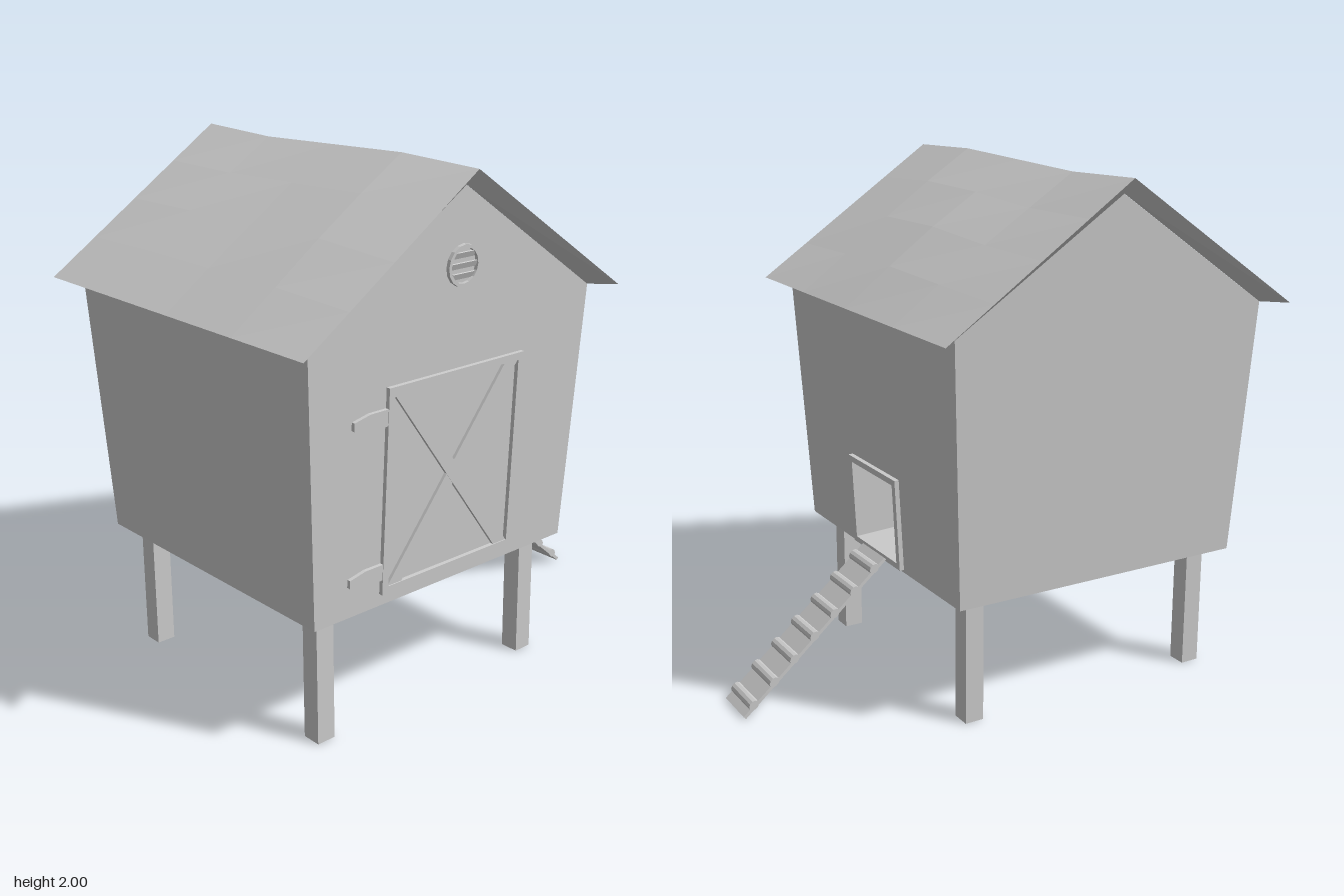
import * as THREE from 'three';

const mat = new THREE.MeshStandardMaterial({ color: 0xcccccc, flatShading: true });
const FLOOR = 0.49, EAVE = 1.485, CZ = 0.25, HALF = 0.61;
const TILT = Math.atan(0.05 / 0.995); // walls lean outwards
const up = (y) => (y - FLOOR) / Math.cos(TILT); // world height -> height along a wall

function add(parent, name, geo, x = 0, y = 0, z = 0) {
  const m = new THREE.Mesh(geo, mat);
  m.name = name;
  m.position.set(x, y, z);
  parent.add(m);
  return m;
}

const poly = (pts) => new THREE.Shape(pts.map(([x, y]) => new THREE.Vector2(x, y)));
const rect = (w, y0, y1) => poly([[-w, y0], [w, y0], [w, y1], [-w, y1]]);
const slab = (shape, depth) =>
  new THREE.ExtrudeGeometry(shape, { depth, bevelEnabled: false, curveSegments: 8 });
function ring(outer, inner, depth) {
  outer.holes.push(inner);
  return slab(outer, depth);
}

// Local frame lying on wall k (0 front, 1 left, 2 back, 3 right): x across, y up, z outwards
function wallFrame(root, k, name) {
  const turn = new THREE.Group();
  turn.position.set(0, FLOOR, CZ);
  turn.rotation.y = k * Math.PI / 2;
  const face = new THREE.Group();
  face.name = name;
  face.position.z = HALF;
  face.rotation.x = TILT;
  turn.add(face);
  root.add(turn);
  return face;
}

function buildDoor(face) {
  const y0 = 0.047, y1 = 0.808, b = 0.027, w = 0.322;
  add(face, 'doorFrame', ring(rect(w, y0, y1), rect(w - b, y0 + b, y1 - b), 0.016));
  // diagonal braces, cut flush with the frame
  for (const s of [1, -1]) {
    const pts = [[-0.295, y1 - b], [-0.295 , y1 - b - 0.002], [0.23, y0 + b], [0.295, y0 + b], [-0.23, y1 - b]]
      .map(([x, y]) => [x * s, y]);
    add(face, 'doorBrace', slab(poly(pts), s > 0 ? 0.012 : 0.0115));
  }
  for (const y of [0.135, 0.705]) {
    const hinge = poly([[-0.32, -0.03], [-0.32, 0.03], [-0.4, 0.03], [-0.47, 0.015], [-0.47, -0.015], [-0.4, -0.03]]);
    add(face, 'doorHinge', slab(hinge, 0.014), 0, y, 0);
  }
}

function buildVent(face) {
  const y = up(1.66);
  const disc = (r) => new THREE.Shape().absarc(0, 0, r, 0, Math.PI * 2);
  add(face, 'ventRing', ring(disc(0.074), disc(0.062), 0.014), 0, y, 0);
  for (const dy of [-0.036, 0, 0.036]) {
    const slat = add(face, 'ventSlat', new THREE.BoxGeometry(2 * Math.sqrt(0.062 ** 2 - dy ** 2), 0.022, 0.005), 0, y + dy, 0.005);
    slat.rotation.x = 0.35;
  }
}

const hatch = () => rect(0.167, 0.035, 0.348);

function buildHatch(face) {
  add(face, 'hatchFrame', ring(rect(0.192, 0.012, 0.372), hatch(), 0.018));
  // recess behind the opening: a box without its outer face, turned inside out
  const box = new THREE.BoxGeometry(0.334, 0.313, 0.24);
  box.setIndex([...box.index.array].filter((_, i) => i < 24 || i >= 30).reverse());
  box.clearGroups();
  add(face, 'hatchRecess', box, 0, 0.1915, -0.12);
}

function buildRoof(root) {
  const ridge = (x) => 1.988 + 0.012 * Math.sin(4.245 * x);
  // two slopes with a slightly sagging, uneven surface
  const top = new THREE.PlaneGeometry(1.48, 2, 4, 8);
  const p = top.attributes.position;
  for (let i = 0; i < p.count; i++) {
    const x = p.getX(i), t = p.getY(i), s = 1 - Math.abs(t);
    const bulge = 0.022 * Math.sin(Math.PI * s) * Math.cos(Math.PI * x / 1.48) * (0.7 + 0.3 * Math.sin(5 * x + 3 * t));
    p.setXYZ(i, x, EAVE + s * (ridge(x) - EAVE) + bulge, CZ - t * 0.74);
  }
  top.computeVertexNormals();
  add(root, 'roofTop', top);

  // soffit slanting from the roof edge in to the top of the walls
  const loop = (hx, ax, ay, hz) => [
    [hx, EAVE, CZ + hz], [ax, ay, CZ], [hx, EAVE, CZ - hz],
    [-hx, EAVE, CZ - hz], [-ax, ay, CZ], [-hx, EAVE, CZ + hz]];
  const outer = loop(0.74, 0.74, 1.988, 0.74), inner = loop(0.66, 0.683, 1.93, 0.66);
  const verts = [];
  for (let i = 0; i < 6; i++) {
    const j = (i + 1) % 6;
    verts.push(...outer[i], ...inner[i], ...outer[j], ...outer[j], ...inner[i], ...inner[j]);
  }
  const soffit = new THREE.BufferGeometry();
  soffit.setAttribute('position', new THREE.Float32BufferAttribute(verts, 3));
  soffit.computeVertexNormals();
  add(root, 'roofSoffit', soffit);
}

function buildRamp(root) {
  const ramp = new THREE.Group();
  ramp.name = 'ramp';
  const run = 0.595, rise = 0.515, len = Math.hypot(run, rise);
  ramp.position.set(-0.005, rise / 2 + 0.005, -0.985 + run / 2);
  ramp.rotation.x = -Math.atan2(rise, run);
  add(ramp, 'rampBoard', new THREE.BoxGeometry(0.18, 0.013, len));
  const rung = new THREE.CylinderGeometry(0.022, 0.022, 0.18, 10).rotateZ(Math.PI / 2).scale(1, 0.75, 1);
  for (let i = 0; i < 7; i++) add(ramp, 'rampRung', rung, 0, 0.006, len * ((i + 0.5) / 7 - 0.5));
  root.add(ramp);
}

export function createModel() {
  const root = new THREE.Group();
  root.name = 'henHouse';

  // four leaning walls, gabled on the left and right
  ['frontWall', 'leftWall', 'backWall', 'rightWall'].forEach((name, k) => {
    const face = wallFrame(root, k, name + 'Group');
    const pts = [[-HALF, 0], [HALF, 0], [0.66, up(EAVE)], [-0.66, up(EAVE)]];
    if (k % 2) pts.splice(3, 0, [0, up(1.93)]);
    const shape = poly(pts);
    if (k === 2) shape.holes.push(hatch());
    add(face, name, new THREE.ShapeGeometry(shape));
    if (k === 1) {
      buildDoor(face);
      buildVent(face);
    }
    if (k === 2) buildHatch(face);
  });
  add(root, 'floor', new THREE.PlaneGeometry(2 * HALF, 2 * HALF).rotateX(Math.PI / 2), 0, FLOOR, CZ);

  const leg = new THREE.BoxGeometry(0.075, FLOOR, 0.075);
  for (const x of [-1, 1]) for (const z of [-1, 1]) {
    add(root, 'leg', leg, x * 0.502, FLOOR / 2, CZ + z * 0.507);
  }

  buildRoof(root);
  buildRamp(root);
  return root;
}
